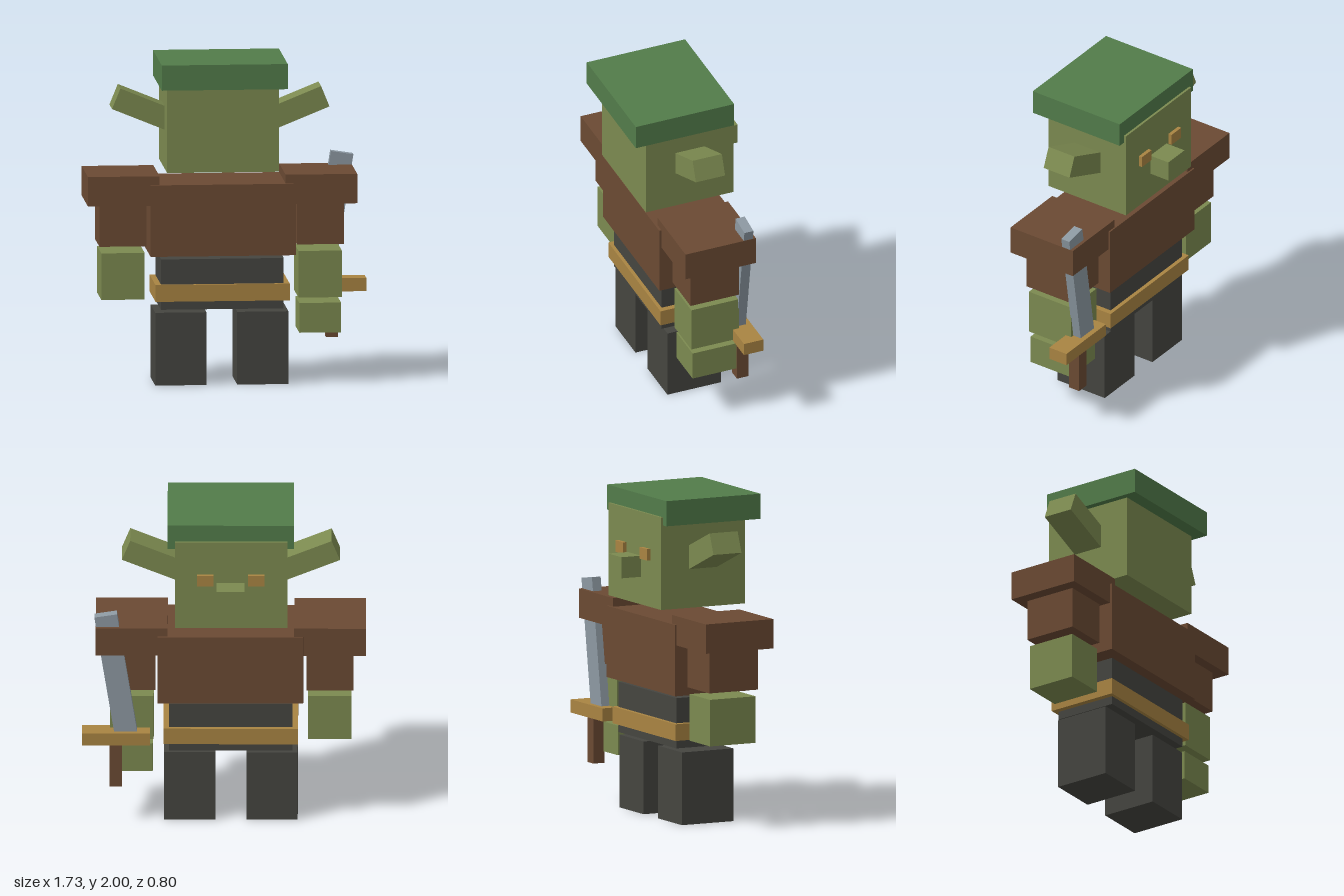
import * as THREE from 'three';

const material = (name, color) => {
  const m = new THREE.MeshStandardMaterial({ color });
  m.name = name;
  return m;
};

export function createModel() {
  const group = new THREE.Group();
  const skin = material('green skin', 0x7c8a50);
  const hatGreen = material('hat green', 0x527c4a);
  const leather = material('brown leather', 0x6b4a33);
  const cloth = material('dark cloth', 0x454540);
  const gold = material('gold', 0xa98442);
  const steel = material('steel', 0x8d99a2);

  // Box given by its extents on each axis
  const box = (name, mat, [x0, x1], [y0, y1], [z0, z1]) => {
    const mesh = new THREE.Mesh(new THREE.BoxGeometry(x1 - x0, y1 - y0, z1 - z0), mat);
    mesh.name = name;
    mesh.position.set((x0 + x1) / 2, (y0 + y1) / 2, (z0 + z1) / 2);
    group.add(mesh);
    return mesh;
  };

  // Box running between two points in the xy plane
  const bar = (name, mat, [ax, ay], [bx, by], width, [z0, z1]) => {
    const length = Math.hypot(bx - ax, by - ay);
    const mesh = new THREE.Mesh(new THREE.BoxGeometry(length, width, z1 - z0), mat);
    mesh.name = name;
    mesh.position.set((ax + bx) / 2, (ay + by) / 2, (z0 + z1) / 2);
    mesh.rotation.z = Math.atan2(by - ay, bx - ax);
    group.add(mesh);
  };

  // Head and hat
  box('head', skin, [-0.39, 0.295], [1.325, 1.895], [-0.265, 0.315]);
  box('hat', hatGreen, [-0.43, 0.34], [1.845, 2], [-0.25, 0.4]);
  box('nose', skin, [-0.13, 0.04], [1.495, 1.625], [-0.4, -0.26]);

  // Body
  box('torso', leather, [-0.487, 0.4], [0.803, 1.243], [-0.22, 0.27]);
  box('waist', cloth, [-0.42, 0.33], [0.47, 0.78], [-0.175, 0.225]);
  box('belt', gold, [-0.455, 0.365], [0.522, 0.625], [-0.2, 0.247]);

  // Paired parts, mirrored about the body's centre line
  const centre = -0.046;
  for (const [side, s] of [['left', 1], ['right', -1]]) {
    const mx = (a, b) => [centre + s * a, centre + s * b].sort((p, q) => p - q);
    box(side + 'Eye', gold, mx(0.105, 0.206), [1.612, 1.683], [-0.288, -0.26]);
    bar(side + 'Ear', skin, [centre + s * 0.3, 1.619], [centre + s * 0.639, 1.757], 0.136, [-0.073, 0.12]);
    box(side + 'ShoulderPad', leather, mx(0.385, 0.823), [1.116, 1.297], [-0.21, 0.255]);
    box(side + 'Sleeve', leather, mx(0.46, 0.747), [0.857, 1.12], [-0.145, 0.19]);
    box(side + 'Forearm', skin, mx(0.47, 0.735), [0.528, 0.815], [-0.135, 0.18]);
    box(side + 'Leg', cloth, mx(0.094, 0.407), [0, 0.448], [-0.153, 0.2]);
  }
  box('leftHand', skin, [0.43, 0.685], [0.31, 0.493], [-0.128, 0.17]);

  // Sword
  bar('swordBlade', steel, [0.592, 0.58], [0.717, 1.371], 0.139, [-0.19, -0.13]);
  box('swordGuard', gold, [0.447, 0.862], [0.522, 0.603], [-0.223, -0.095]);
  box('swordGrip', leather, [0.617, 0.692], [0.238, 0.53], [-0.197, -0.12]);

  return group;
}
